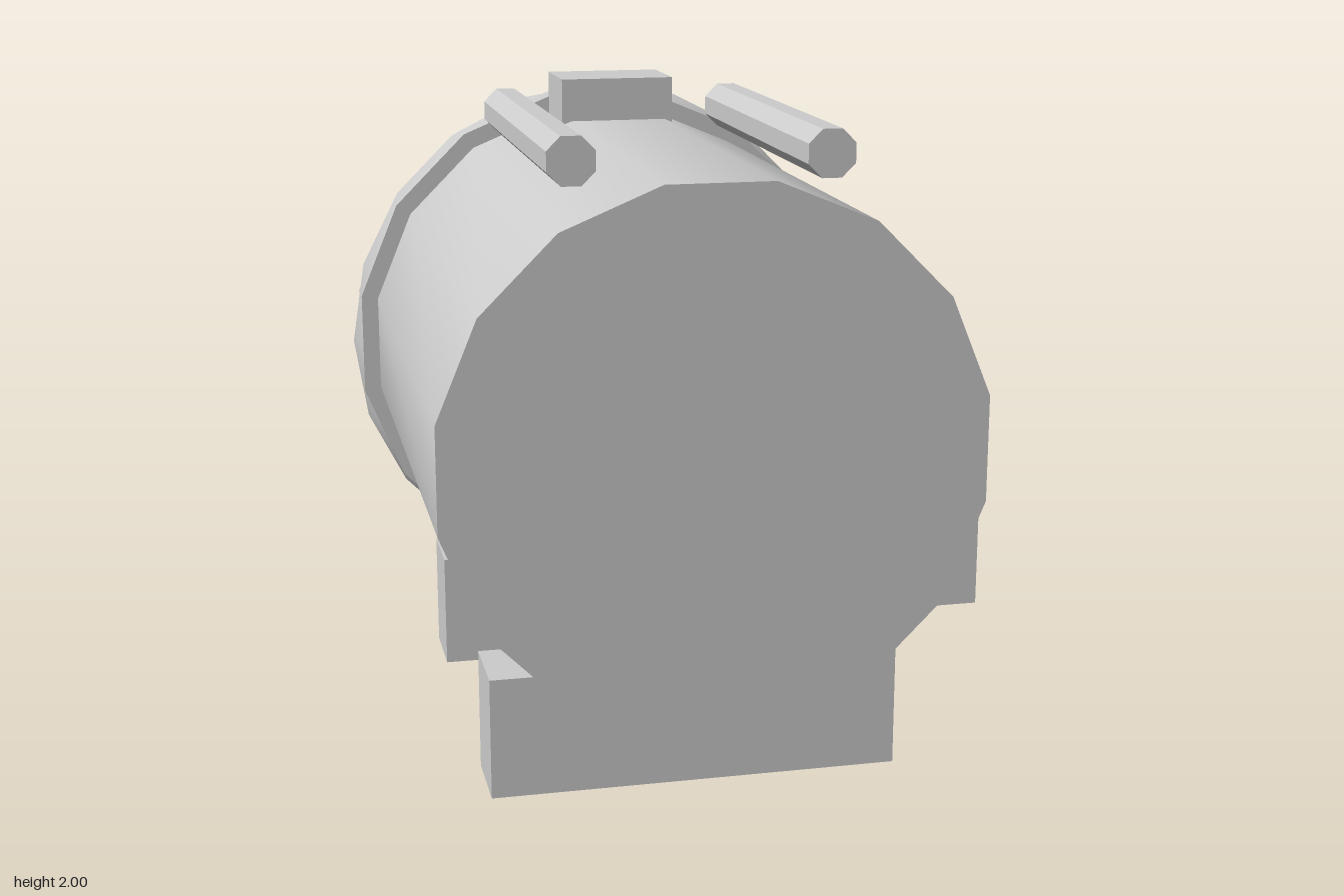
import * as THREE from 'three';
import { toCreasedNormals } from 'three/addons/utils/BufferGeometryUtils.js';

const CX = -0.055, CY = 1.065; // axis of the drum

export function createModel() {
  const model = new THREE.Group();
  model.name = 'pressureVessel';
  const paint = new THREE.MeshStandardMaterial({ color: 0xcccccc });
  paint.name = 'light grey metal';

  const add = (name, geometry) => {
    const mesh = new THREE.Mesh(geometry, paint);
    mesh.name = name;
    model.add(mesh);
    return mesh;
  };

  // Box given by its two extreme corners
  const box = (name, [x0, y0, z0], [x1, y1, z1]) =>
    add(name, new THREE.BoxGeometry(x1 - x0, y1 - y0, z1 - z0))
      .position.set((x0 + x1) / 2, (y0 + y1) / 2, (z0 + z1) / 2);

  // Prism along z with flat sides on the axes, sized by its apothem
  const rod = (name, x, y, apothem, sides, z0, z1) => {
    const r = apothem / Math.cos(Math.PI / sides);
    const g = new THREE.CylinderGeometry(r, r, z1 - z0, sides, 1, false, Math.PI / sides);
    g.rotateX(Math.PI / 2);
    add(name, toCreasedNormals(g, Math.PI / 6)).position.set(x, y, (z0 + z1) / 2);
  };

  const ring = (name, radius, tube, segments, z) =>
    add(name, toCreasedNormals(new THREE.TorusGeometry(radius, tube, 6, segments), Math.PI / 6))
      .position.set(CX, CY, z);

  // Drum and rear door with its sealing rim
  rod('drum', CX, CY, 0.796, 16, -0.8, 0.98);
  rod('rearDoor', CX, CY, 0.852, 16, -0.88, -0.77);
  ring('doorRim', 0.821, 0.06, 20, -0.825);

  // Hand wheel: rim, hub and four spokes
  ring('wheelRim', 0.275, 0.035, 20, -0.92);
  rod('wheelHub', CX, CY, 0.097, 8, -0.98, -0.87);
  for (let i = 0; i < 4; i++) {
    const a = i * Math.PI / 2;
    const g = new THREE.CylinderGeometry(0.018, 0.018, 0.2, 6);
    const spoke = add('wheelSpoke', toCreasedNormals(g, Math.PI / 6));
    spoke.position.set(CX - Math.sin(a) * 0.175, CY + Math.cos(a) * 0.175, -0.92);
    spoke.rotation.z = a;
  }

  // Pipes along the top
  for (const s of [-1, 1]) rod('topPipe', CX - 0.005 + s * 0.375, 1.905, 0.07, 8, -0.46, 0.79);

  // Top housing, side control box and the two support feet
  box('topHousing', [-0.245, 1.845, -0.73], [0.13, 2, -0.46]);
  box('controlBox', [0.765, 0.38, -0.33], [0.94, 1, 0.415]);
  box('frontFoot', [-0.685, 0, 0.485], [0.565, 0.375, 0.73]);
  box('rearFoot', [-0.685, 0, -0.64], [0.565, 0.375, -0.395]);

  return model;
}
